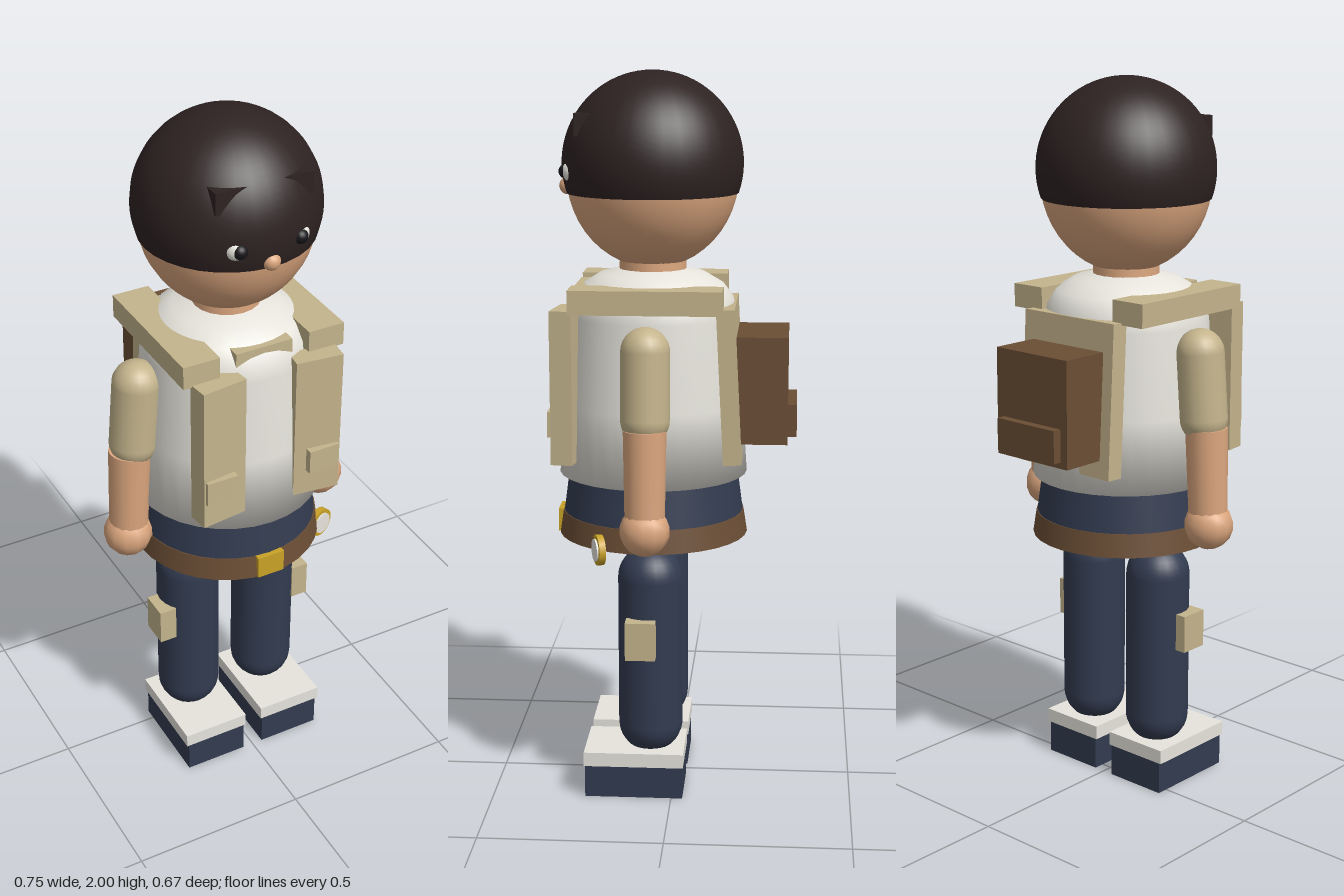
import * as THREE from 'three';

const mat = (name, color) => {
  const m = new THREE.MeshStandardMaterial({ color });
  m.name = name;
  return m;
};

export function createModel() {
  const model = new THREE.Group();
  model.name = 'explorer';
  const skin = mat('skin', 0xdba67e), hair = mat('dark hair', 0x2e2222);
  const khaki = mat('khaki', 0xc4b48c), white = mat('off white', 0xe6e4dc);
  const navy = mat('navy', 0x323b50), brown = mat('leather brown', 0x6b4e35);
  const gold = mat('gold', 0xc9a227), black = mat('black', 0x17151a);
  hair.side = THREE.DoubleSide;
  const Z = 0.063; // depth of the body axis

  const add = (name, geo, m, x, y, z, parent = model) => {
    const mesh = new THREE.Mesh(geo, m);
    mesh.name = name;
    mesh.position.set(x, y, z);
    parent.add(mesh);
    return mesh;
  };
  const box = (name, m, w, h, d, x, y, z, parent) =>
    add(name, new THREE.BoxGeometry(w, h, d), m, x, y, z, parent);
  const ball = (name, m, r, x, y, z, seg = 16) =>
    add(name, new THREE.SphereGeometry(r, seg, Math.ceil(seg * 0.75)), m, x, y, z);
  const lathe = (name, m, pts) =>
    add(name, new THREE.LatheGeometry(pts.map(p => new THREE.Vector2(...p)), 32), m, 0, 0, Z);

  // Head, hair cap, fringe and face
  ball('head', skin, 0.235, 0, 1.725, Z, 32).scale.y = 1.09;
  add('neck', new THREE.CylinderGeometry(0.09, 0.095, 0.14, 20), skin, 0, 1.46, Z);
  add('hair', new THREE.SphereGeometry(0.247, 32, 24, 0, Math.PI * 2, 0, Math.PI * 0.605),
    hair, 0, 1.753, Z);
  box('fringe', hair, 0.274, 0.06, 0.07, 0, 1.86, 0.226);
  ball('nose', skin, 0.024, 0, 1.69, 0.295);

  // Torso, hips and belt
  lathe('shirt', white, [[0, 0.9], [0.262, 0.9], [0.248, 1.1], [0.231, 1.34], [0.222, 1.39],
    [0.195, 1.425], [0.145, 1.455], [0.08, 1.47]]);
  add('hips', new THREE.CylinderGeometry(0.236, 0.252, 0.12, 32), navy, 0, 0.845, Z);
  add('belt', new THREE.CylinderGeometry(0.254, 0.264, 0.065, 32), brown, 0, 0.757, Z);
  box('buckle', gold, 0.08, 0.065, 0.02, 0, 0.757, 0.318);

  // Vest back, collar and backpack
  box('vestBack', khaki, 0.326, 0.425, 0.05, 0, 1.163, -0.153).rotation.x = 0.05;
  box('collar', khaki, 0.165, 0.04, 0.05, 0, 1.408, 0.245);
  box('backpack', brown, 0.258, 0.295, 0.14, 0, 1.15, -0.242);
  box('backpackPocket', brown, 0.21, 0.09, 0.03, 0, 1.065, -0.322);

  // Compass hanging from the belt
  const compass = new THREE.Group();
  compass.name = 'compass';
  compass.position.set(0.235, 0.728, 0.193);
  compass.rotation.y = 0.36;
  model.add(compass);
  add('compassCase', new THREE.CylinderGeometry(0.042, 0.042, 0.018, 20), gold, 0, 0, 0, compass)
    .rotation.x = Math.PI / 2;
  add('compassFace', new THREE.CylinderGeometry(0.031, 0.031, 0.006, 20), white, 0, 0, 0.011, compass)
    .rotation.x = Math.PI / 2;

  for (const s of [1, -1]) {
    const side = s > 0 ? 'left' : 'right';

    // Eyes
    ball(side + 'EyeWhite', white, 0.03, s * 0.088, 1.735, 0.27);
    ball(side + 'Pupil', black, 0.02, s * 0.085, 1.735, 0.289);

    // Vest front, pocket and shoulder strap
    box(side + 'VestFront', khaki, 0.132, 0.42, 0.06, s * 0.143, 1.165, 0.288).rotation.y = -s * 0.12;
    box(side + 'VestPocket', khaki, 0.09, 0.07, 0.03, s * 0.154, 1.065, 0.32);
    box(side + 'ShoulderStrap', khaki, 0.105, 0.065, 0.41, s * 0.183, 1.402, 0.068);

    // Arm
    const sleeve = add(side + 'Sleeve', new THREE.CapsuleGeometry(0.066, 0.18, 8, 20), khaki,
      s * 0.275, 1.19, Z);
    sleeve.rotation.z = s * 0.08;
    add(side + 'Forearm', new THREE.CylinderGeometry(0.058, 0.054, 0.24, 16), skin, s * 0.298, 0.955, Z)
      .rotation.z = s * 0.04;
    ball(side + 'Hand', skin, 0.068, s * 0.306, 0.803, Z, 12);

    // Leg, thigh pocket and shoe
    add(side + 'Leg', new THREE.CapsuleGeometry(0.09, 0.42, 10, 24), navy, s * 0.123, 0.41, Z);
    box(side + 'LegPocket', khaki, 0.05, 0.107, 0.083, s * 0.217, 0.468, 0.083);
    box(side + 'Shoe', white, 0.196, 0.04, 0.278, s * 0.124, 0.113, 0.105);
    box(side + 'Sole', navy, 0.183, 0.094, 0.273, s * 0.123, 0.047, 0.105);
  }
  return model;
}
